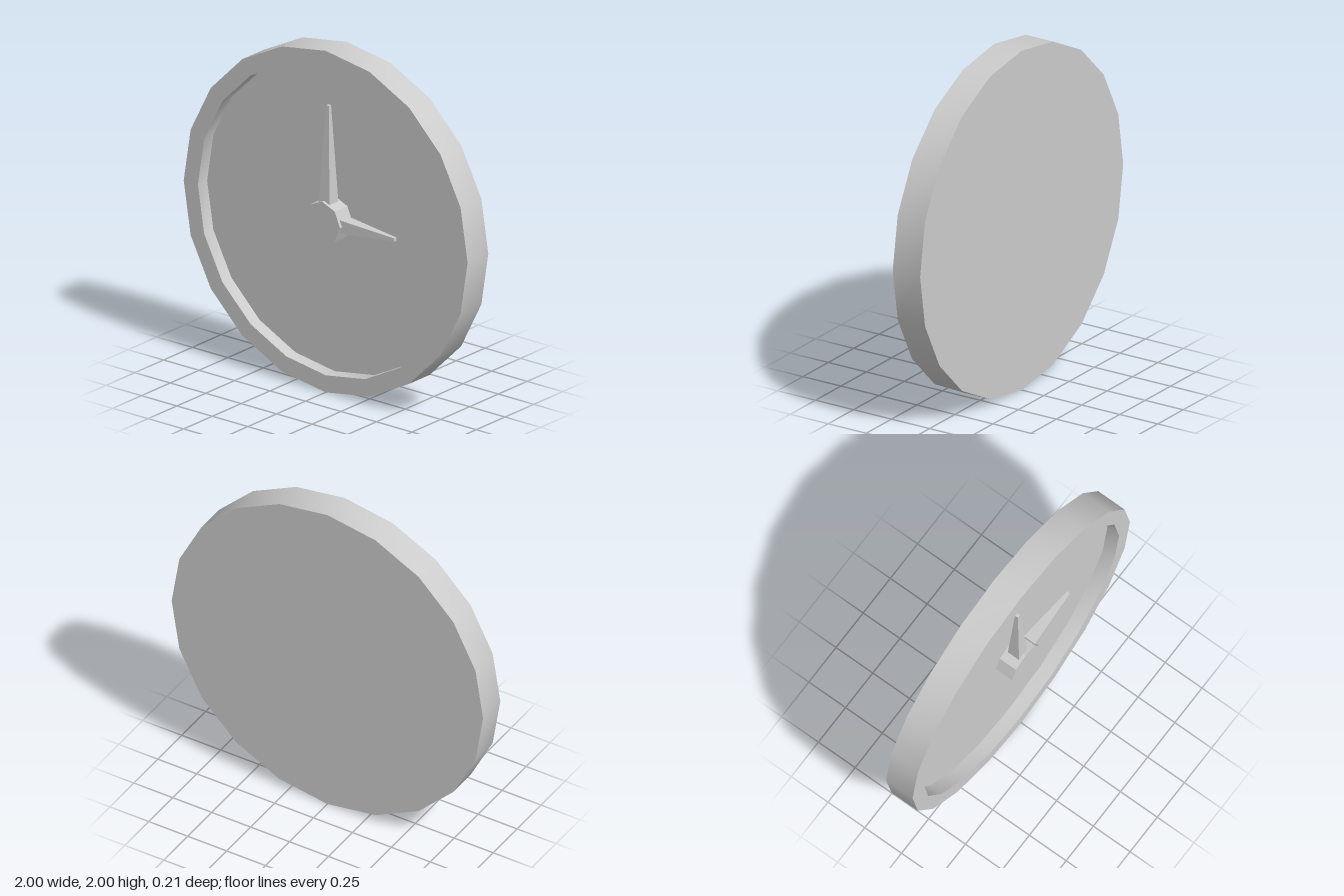
import * as THREE from 'three';
import { toCreasedNormals } from 'three/addons/utils/BufferGeometryUtils.js';

const SIDES = 20;
const BACK_Z = -0.105, FACE_Z = -0.005, RIM_Z = 0.075, HUB_Z = 0.105, HAND_Z = 0.05;

export function createModel() {
  const clock = new THREE.Group();
  clock.name = 'wallClock';
  const smooth = new THREE.MeshStandardMaterial({ color: 0xcccccc });
  const flat = new THREE.MeshStandardMaterial({ color: 0xcccccc, flatShading: true });

  const add = (name, geometry, material, z = 0) => {
    const mesh = new THREE.Mesh(geometry, material);
    mesh.name = name;
    mesh.position.set(0, 1, z);
    clock.add(mesh);
    return mesh;
  };

  // Rim: outer wall, front lip and inner wall, turned to face +z
  const profile = [[1, BACK_Z], [1, RIM_Z], [0.9, RIM_Z], [0.9, FACE_Z]]
    .map(([r, h]) => new THREE.Vector2(r, h));
  const rim = new THREE.LatheGeometry(profile, SIDES).rotateX(Math.PI / 2);
  add('rim', toCreasedNormals(rim, 0.6), smooth);

  // Recessed dial and flat back
  add('dial', new THREE.CircleGeometry(0.9, SIDES), smooth, FACE_Z);
  add('backPlate', new THREE.CircleGeometry(1, SIDES).rotateY(Math.PI), smooth, BACK_Z);

  // Octagonal hub
  const hubDepth = HUB_Z - FACE_Z;
  add('hub', new THREE.CylinderGeometry(0.125, 0.125, hubDepth, 8).rotateX(Math.PI / 2),
    flat, FACE_Z + hubDepth / 2);

  // Hands: square tapered bars starting inside the hub
  const addHand = (name, tip, angle) => {
    const start = 0.09, length = tip - start;
    const bar = new THREE.CylinderGeometry(0.01 * Math.SQRT2, 0.039 * Math.SQRT2, length, 4)
      .rotateY(Math.PI / 4)
      .translate(0, start + length / 2, 0);
    add(name, bar, flat, HAND_Z).rotation.z = angle;
  };
  addHand('minuteHand', 0.675, 0);
  addHand('hourHand', 0.47, -Math.PI / 2);

  return clock;
}
